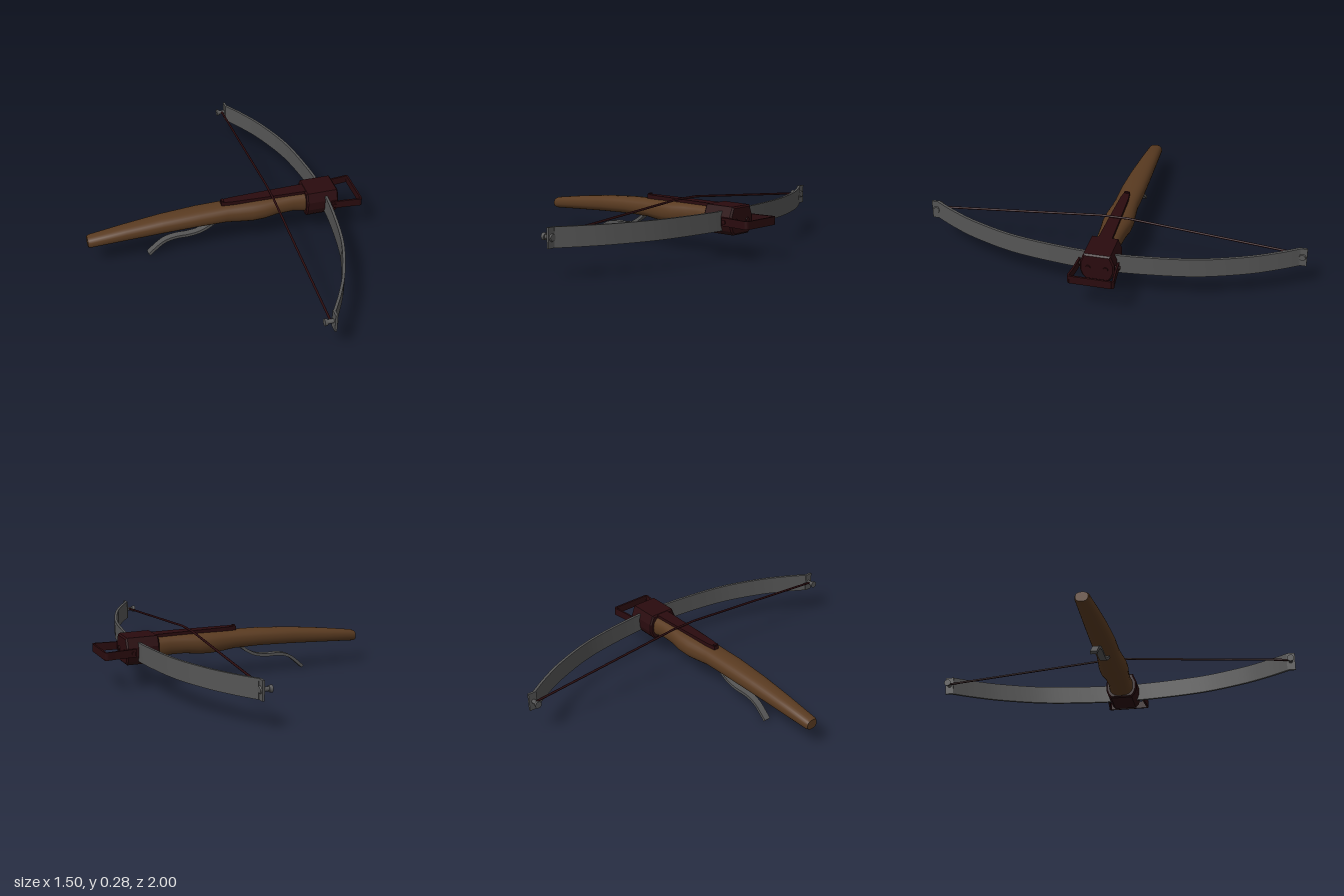
import * as THREE from 'three';
import { toCreasedNormals } from 'three/addons/utils/BufferGeometryUtils.js';

const material = (name, color) => {
  const m = new THREE.MeshStandardMaterial({ color });
  m.name = name;
  return m;
};
const V2 = (p) => new THREE.Vector2(p[0], p[1]);

export function createModel() {
  const wood = material('walnut wood', 0x5a3b21);
  const steel = material('grey steel', 0x555555);
  const iron = material('dark red iron', 0x2a0b0e);
  const group = new THREE.Group();

  const add = (name, geometry, mat, x = 0, y = 0, z = 0) => {
    const mesh = new THREE.Mesh(geometry, mat);
    mesh.name = name;
    mesh.position.set(x, y, z);
    group.add(mesh);
    return mesh;
  };

  // Flat band following a planar curve, extruded to the given width about its middle
  const band = (points, thickness, width, steps) => {
    const curve = new THREE.SplineCurve(points.map(V2));
    const left = [], right = [];
    for (let i = 0; i <= steps; i++) {
      const p = curve.getPoint(i / steps), t = curve.getTangent(i / steps);
      const n = new THREE.Vector2(-t.y, t.x).multiplyScalar(thickness / 2);
      left.push(p.clone().add(n));
      right.push(p.clone().sub(n));
    }
    const shape = new THREE.Shape([...right, ...left.reverse()]);
    const g = new THREE.ExtrudeGeometry(shape, { depth: width, bevelEnabled: false });
    return toCreasedNormals(g.translate(0, 0, -width / 2), 0.6);
  };

  // Stock sections: x, bottom, top, half width
  const sections = [
    [-0.75, 0.128, 0.18, 0.032], [-0.735, 0.125, 0.186, 0.038], [-0.55, 0.136, 0.212, 0.048],
    [-0.35, 0.147, 0.235, 0.058], [-0.15, 0.155, 0.248, 0.065], [0, 0.153, 0.252, 0.064],
    [0.07, 0.145, 0.254, 0.07], [0.14, 0.14, 0.256, 0.078], [0.21, 0.143, 0.258, 0.079],
    [0.28, 0.153, 0.26, 0.07], [0.37, 0.153, 0.262, 0.064], [0.44, 0.14, 0.262, 0.068],
    [0.5, 0.138, 0.262, 0.068],
  ];
  const stockGeo = new THREE.CylinderGeometry(1, 1, 1, 24, sections.length - 1);
  stockGeo.rotateZ(-Math.PI / 2);
  const pos = stockGeo.attributes.position;
  const soft = (v) => Math.sign(v) * Math.pow(Math.abs(v), 0.8);
  for (let i = 0; i < pos.count; i++) {
    const k = Math.round((pos.getX(i) + 0.5) * (sections.length - 1));
    const [x, bottom, top, half] = sections[k];
    pos.setXYZ(i, x, (top + bottom) / 2 + soft(pos.getY(i)) * (top - bottom) / 2, soft(pos.getZ(i)) * half);
  }
  add('stock', toCreasedNormals(stockGeo, 0.7), wood);

  // Tapered bolt rail along the top, with a small raised catch
  const railShape = new THREE.Shape([
    [-0.02, -0.014], [0.04, -0.022], [0.25, -0.03], [0.46, -0.036],
    [0.46, 0.036], [0.25, 0.03], [0.04, 0.022], [-0.02, 0.014],
  ].map(V2));
  const rail = new THREE.ExtrudeGeometry(railShape, { depth: 0.03, bevelEnabled: false });
  add('rail', rail.rotateX(-Math.PI / 2), iron, 0, 0.243, 0);
  add('railCatch', new THREE.BoxGeometry(0.012, 0.035, 0.024), iron, -0.011, 0.262, 0);

  // Faceted head block that clamps the bow
  const headShape = new THREE.Shape([
    [-0.06, 0.13], [0.06, 0.13], [0.077, 0.15], [0.088, 0.18],
    [0.088, 0.225], [0.068, 0.275], [-0.068, 0.275], [-0.088, 0.225], [-0.088, 0.18], [-0.077, 0.15],
  ].map(V2));
  const head = new THREE.ExtrudeGeometry(headShape, {
    depth: 0.163, bevelThickness: 0.008, bevelSize: 0.008, bevelOffset: -0.008, bevelSegments: 1,
  });
  add('headBlock', head.rotateY(Math.PI / 2), iron, 0.448, 0, 0);

  // Curved bow
  const bow = band([
    [0.277, -0.96], [0.345, -0.85], [0.42, -0.7], [0.498, -0.47], [0.54, -0.2], [0.551, 0],
    [0.54, 0.2], [0.498, 0.47], [0.42, 0.7], [0.345, 0.85], [0.277, 0.96],
  ], 0.014, 0.1, 64);
  add('bow', bow.rotateX(-Math.PI / 2), steel, 0, 0.2, 0);

  // Stirrup and its side straps
  const stirrup = (name, points, steps) =>
    add(name, band(points, 0.01, 0.042, steps).rotateX(-Math.PI / 2), iron, 0, 0.201, 0);
  stirrup('stirrupBar', [[0.741, -0.106], [0.741, 0.106]], 1);

  const rod = (name, r1, r2, x0, x1, y, z, mat) => {
    const g = new THREE.CylinderGeometry(r1, r2, x1 - x0, 16).rotateZ(-Math.PI / 2);
    return add(name, g, mat, (x0 + x1) / 2, y, z);
  };
  const up = new THREE.Vector3(0, 1, 0);

  for (const s of [-1, 1]) {
    const arm = [[0.575, 0.1], [0.62, 0.102], [0.69, 0.108], [0.732, 0.113], [0.742, 0.104]];
    stirrup('stirrupArm', arm.map(([x, z]) => [x, s * z]), 20);
    const pin = new THREE.CylinderGeometry(0.011, 0.011, 0.036, 12).rotateX(Math.PI / 2);
    add('stirrupPin', pin, iron, 0.59, 0.2, s * 0.094);

    // Bolts on the front of the head
    rod('headBolt', 0.012, 0.014, 0.612, 0.624, 0.2, s * 0.045, iron);

    // Bow tip plate and flared string post
    add('tipPlate', new THREE.BoxGeometry(0.012, 0.1, 0.045), steel, 0.275, 0.2, s * 0.9765);
    rod('postCap', 0.016, 0.019, 0.222, 0.238, 0.2, s * 0.975, steel);
    rod('postNeck', 0.011, 0.011, 0.236, 0.272, 0.2, s * 0.975, steel);
    rod('postRivet', 0.016, 0.02, 0.28, 0.287, 0.2, s * 0.975, steel);

    // String half, rising from the post to the rail
    const a = new THREE.Vector3(0.254, 0.202, s * 0.975);
    const b = new THREE.Vector3(0.254, 0.28, s * 0.07);
    const half = add('bowString', new THREE.CylinderGeometry(0.006, 0.006, a.distanceTo(b), 8), iron);
    half.position.copy(a).lerp(b, 0.5);
    half.quaternion.setFromUnitVectors(up, b.clone().sub(a).normalize());
  }
  const middle = new THREE.CylinderGeometry(0.006, 0.006, 0.142, 8).rotateX(Math.PI / 2);
  add('bowStringMiddle', middle, iron, 0.254, 0.28, 0);

  // Long curved trigger lever below the stock
  add('triggerLever', band([
    [-0.04, 0.168], [-0.08, 0.135], [-0.135, 0.106], [-0.2, 0.094], [-0.26, 0.094],
    [-0.31, 0.087], [-0.35, 0.07], [-0.39, 0.038], [-0.424, 0.007],
  ], 0.016, 0.036, 32), steel);

  return group;
}
